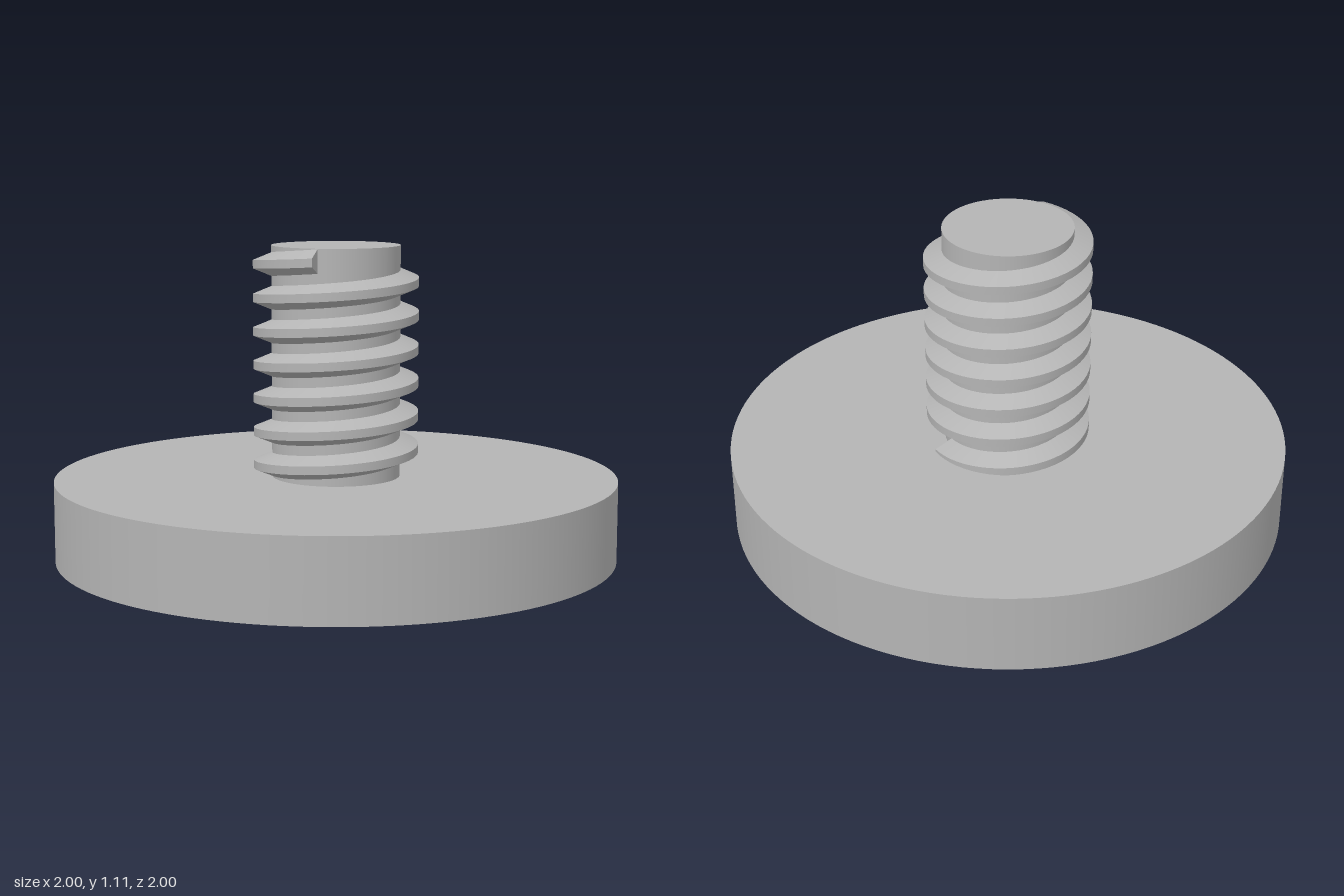
import * as THREE from 'three';
import { toCreasedNormals } from 'three/addons/utils/BufferGeometryUtils.js';

const BASE_H = 0.285, TOP = 1.107, SHAFT_R = 0.228, THREAD_R = 0.293;
const PITCH = 0.1187, START_Y = 0.28, TURNS = 6.6, STEPS_PER_TURN = 60;

// Trapezoidal section (radius, height) swept up a right-handed helix, capped at both ends
function threadGeometry() {
  const section = [[0.22, -0.045], [THREAD_R, -0.015], [THREAD_R, 0.015], [0.22, 0.045]];
  const steps = Math.round(TURNS * STEPS_PER_TURN);
  const positions = [], index = [];
  for (let i = 0; i <= steps; i++) {
    const turn = (i / steps) * TURNS, a = turn * Math.PI * 2;
    for (const [r, h] of section) {
      positions.push(r * Math.cos(a), START_Y + turn * PITCH + h, -r * Math.sin(a));
    }
    if (i === steps) break;
    for (let j = 0; j < 4; j++) {
      const k = (j + 1) % 4, p = i * 4, n = p + 4;
      index.push(p + j, n + j, n + k, p + j, n + k, p + k);
    }
  }
  const e = steps * 4;
  index.push(0, 1, 2, 0, 2, 3, e, e + 2, e + 1, e, e + 3, e + 2);
  const g = new THREE.BufferGeometry();
  g.setAttribute('position', new THREE.Float32BufferAttribute(positions, 3));
  g.setIndex(index);
  return toCreasedNormals(g, 0.5);
}

export function createModel() {
  const group = new THREE.Group();
  group.name = 'threadedFoot';
  const steel = new THREE.MeshStandardMaterial({ color: 0xb4b4b4 });
  steel.name = 'grey';

  const add = (name, geometry, y = 0) => {
    const mesh = new THREE.Mesh(geometry, steel);
    mesh.name = name;
    mesh.position.y = y;
    group.add(mesh);
  };

  // Round foot plate
  add('base', new THREE.CylinderGeometry(1, 1, BASE_H, 128), BASE_H / 2);
  // Plain core of the screw, rising from the plate
  add('shaft', new THREE.CylinderGeometry(SHAFT_R, SHAFT_R, TOP - BASE_H, 64, 1), (TOP + BASE_H) / 2);
  // Spiral ridge around the core
  add('thread', threadGeometry());

  return group;
}
